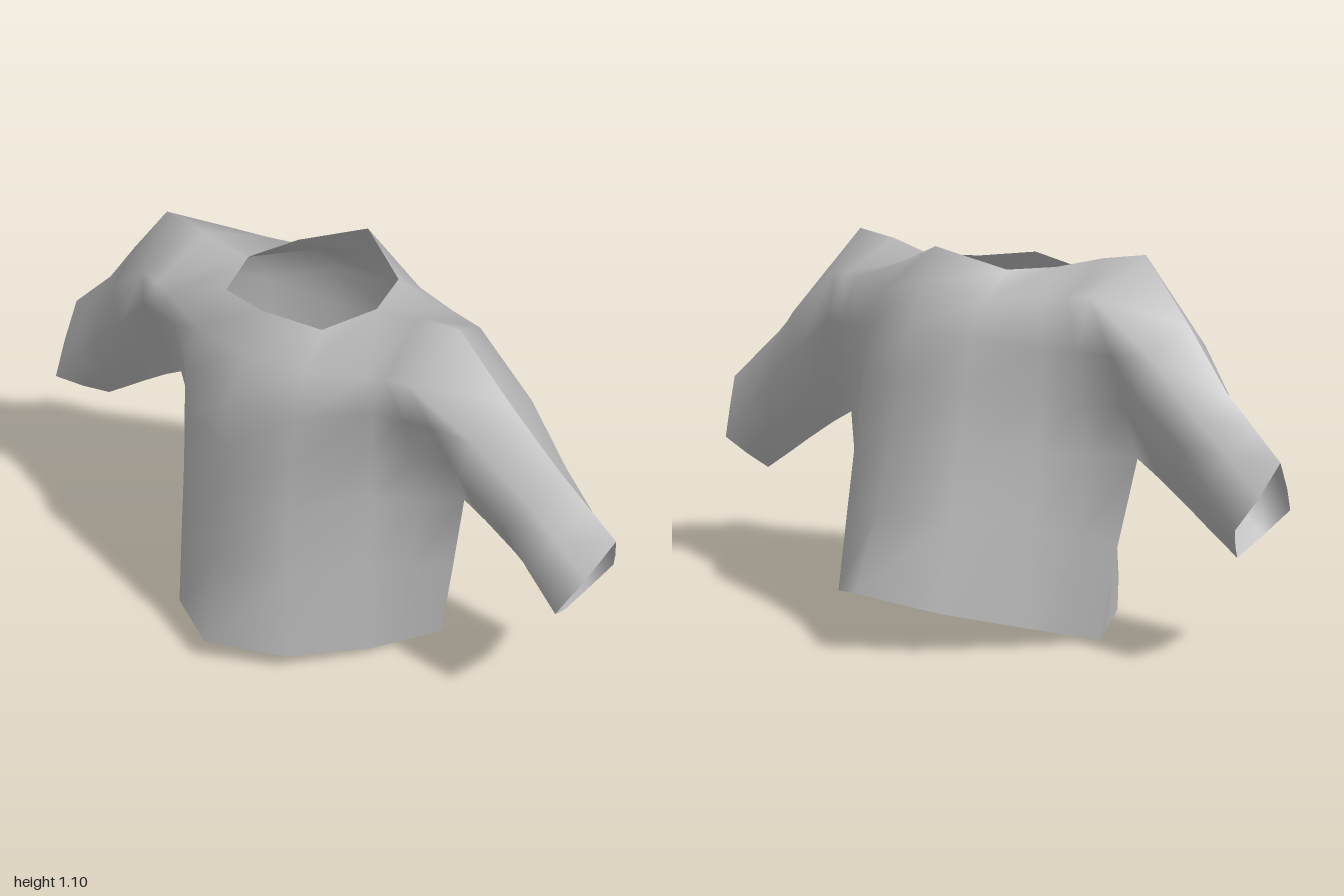
import * as THREE from 'three';
import { mergeGeometries, mergeVertices } from 'three/addons/utils/BufferGeometryUtils.js';

const fabric = new THREE.MeshStandardMaterial({ color: 0xb8b8b8, side: THREE.DoubleSide });
fabric.name = 'grey fabric';

const mirrorRows = (rows) => rows.map((row) => row.map(([x, y, z]) => [-x, y, z]));
const reverseColumns = (rows) => rows.map((row) => [...row].reverse());

// Sheet through a grid of points; rows run upward, columns left to right as seen from outside
function grid(rows) {
  const n = rows[0].length;
  const index = [];
  for (let r = 0; r < rows.length - 1; r++) {
    for (let c = 0; c < n - 1; c++) {
      const a = r * n + c;
      index.push(a, a + 1, a + n + 1, a, a + n + 1, a + n);
    }
  }
  const geometry = new THREE.BufferGeometry();
  geometry.setAttribute('position', new THREE.Float32BufferAttribute(rows.flat(2), 3));
  geometry.setIndex(index);
  return geometry;
}

// Half rows from the centre line to the side seam, hem to neckline
const frontHalf = [
  [[0, 0.07, 0.54], [0.205, 0.05, 0.425], [0.345, 0.022, 0.22], [0.44, 0, 0]],
  [[0, 0.33, 0.48], [0.2, 0.32, 0.405], [0.335, 0.3, 0.21], [0.485, 0.28, 0.015]],
  [[0, 0.53, 0.455], [0.195, 0.53, 0.39], [0.33, 0.53, 0.195], [0.53, 0.53, 0.04]],
  [[0, 0.68, 0.435], [0.195, 0.68, 0.38], [0.335, 0.69, 0.205], [0.54, 0.68, 0.1]],
  [[0, 0.82, 0.415], [0.2, 0.82, 0.365], [0.36, 0.84, 0.235], [0.52, 0.84, 0.195]],
  [[0, 0.94, 0.34], [0.19, 0.94, 0.32], [0.35, 0.96, 0.26], [0.47, 0.98, 0.24]],
  [[0, 1.04, 0.27], [0.17, 1.02, 0.22], [0.23, 1.035, 0.06], [0.38, 1.07, 0.075], [0.52, 1.09, 0.08]],
];
const backHalf = [
  [[0, 0.18, -0.54], [0.185, 0.125, -0.405], [0.33, 0.06, -0.195], [0.44, 0, 0]],
  [[0, 0.4, -0.44], [0.185, 0.37, -0.36], [0.325, 0.33, -0.165], [0.485, 0.28, 0.015]],
  [[0, 0.61, -0.375], [0.185, 0.58, -0.32], [0.32, 0.55, -0.145], [0.53, 0.53, 0.04]],
  [[0, 0.75, -0.34], [0.185, 0.74, -0.29], [0.325, 0.7, -0.135], [0.53, 0.68, -0.025]],
  [[0, 0.88, -0.31], [0.185, 0.87, -0.265], [0.34, 0.84, -0.145], [0.515, 0.83, -0.075]],
  [[0, 1.0, -0.245], [0.18, 0.97, -0.2], [0.34, 0.98, -0.14], [0.46, 0.99, -0.1]],
  [[0, 1.1, -0.19], [0.18, 1.04, -0.1], [0.23, 1.035, 0.06], [0.38, 1.07, 0.075], [0.52, 1.09, 0.08]],
];

// Add a point halfway to the side seam where the row lacks one, to match the shoulder line
const evenRows = (rows) => rows.map((row) => {
  if (row.length === 5) return row;
  const [a, b, c, d] = row;
  return [a, b, c, c.map((v, i) => (v + d[i]) / 2), d];
});

// Sleeve rings beyond the armhole: underside to top, with front and back depths
const sleeveRings = [
  [[0.6, 0.49], [0.61, 0.59], [0.62, 0.73], [0.65, 0.84], [0.68, 0.91]],
  [[0.7, 0.425], [0.71, 0.52], [0.75, 0.62], [0.785, 0.69], [0.82, 0.75]],
  [[0.78, 0.37], [0.81, 0.44], [0.84, 0.52], [0.88, 0.6], [0.91, 0.67]],
  [[0.87, 0.31], [0.9, 0.36], [0.935, 0.42], [0.97, 0.5], [1, 0.59]],
];
const frontDepth = [
  [0.035, 0.11, 0.2, 0.185, 0.06],
  [0.03, 0.08, 0.175, 0.13, 0.03],
  [0.025, 0.1, 0.18, 0.12, 0.02],
  [0.02, 0.1, 0.18, 0.1, 0.01],
];
const backDepth = [
  [0.035, -0.04, -0.095, -0.085, 0.06],
  [0.03, -0.025, -0.095, -0.065, 0.03],
  [0.025, -0.04, -0.1, -0.055, 0.02],
  [0.02, -0.04, -0.1, -0.045, 0.01],
];

// Rows from underside to top, columns from the armhole to the cuff
function sleeveRows(half, depth) {
  const armhole = half.slice(2).map((row) => row[row.length - 1]);
  return armhole.map((p, i) => [p, ...sleeveRings.map((ring, k) => [...ring[i], depth[k][i]])]);
}

// One side of the sweater: body and both sleeves as one smooth sheet
function sweaterSide(name, half, depth, facesBack) {
  const rows = evenRows(half);
  const mirrored = reverseColumns(mirrorRows(rows));
  const body = rows.map((row, i) => [...mirrored[i].slice(0, -1), ...row]);
  const sleeve = sleeveRows(half, depth);
  const sheets = [body, sleeve, reverseColumns(mirrorRows(sleeve))];
  const oriented = facesBack ? sheets.map(reverseColumns) : sheets;
  const geometry = mergeVertices(mergeGeometries(oriented.map(grid)));
  geometry.computeVertexNormals();
  const mesh = new THREE.Mesh(geometry, fabric);
  mesh.name = name;
  return mesh;
}

export function createModel() {
  const group = new THREE.Group();
  group.name = 'sweater';
  // Front and back meet in a sharp seam along the sides, shoulders and sleeves
  group.add(sweaterSide('sweaterFront', frontHalf, frontDepth, false));
  group.add(sweaterSide('sweaterBack', backHalf, backDepth, true));
  return group;
}
